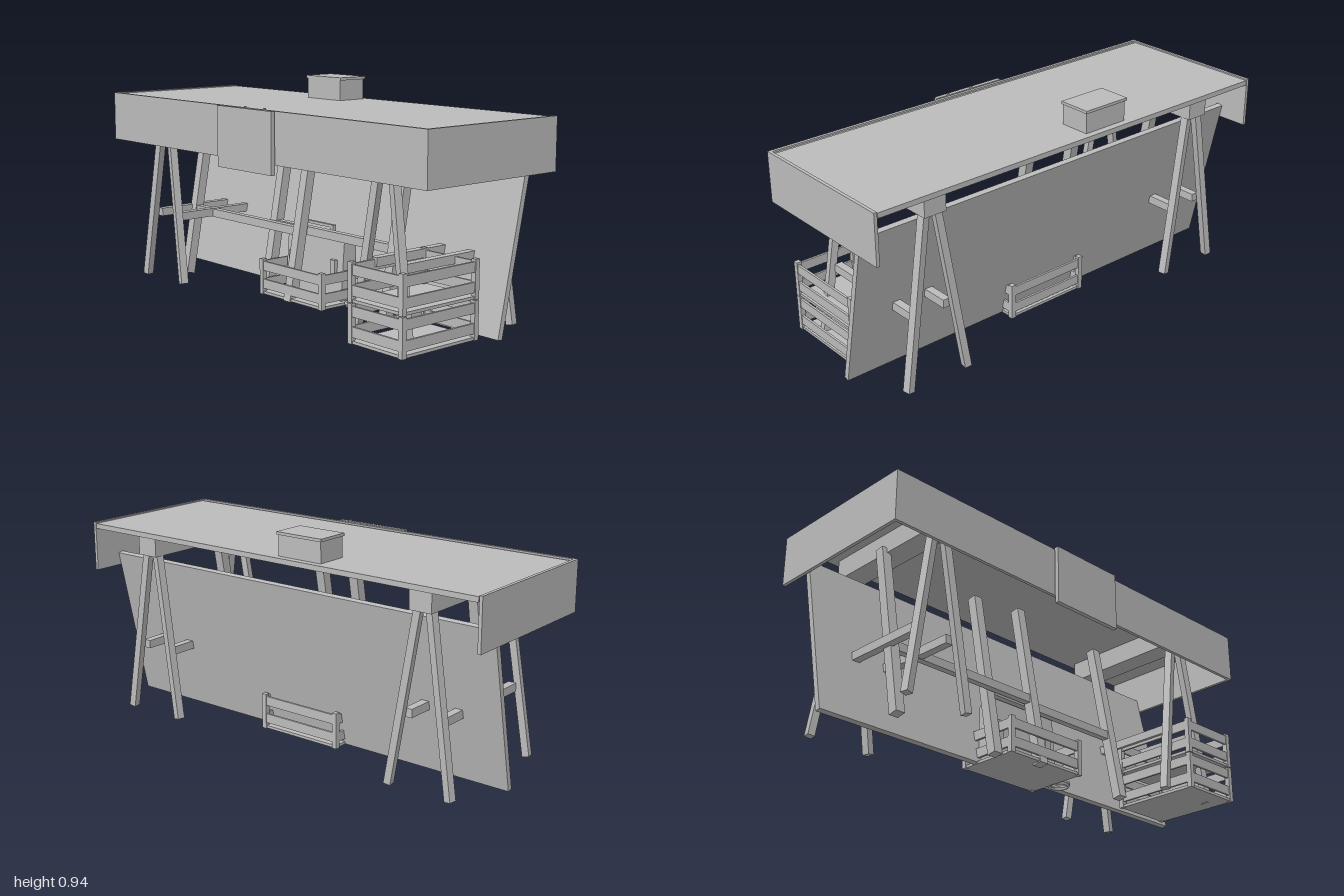
import * as THREE from 'three';

const grey = new THREE.MeshStandardMaterial({ color: 0xbcbcbc });
grey.name = 'plain grey';

// Box given by its centre and size
function box(parent, name, [x, y, z], [w, h, d]) {
  const m = new THREE.Mesh(new THREE.BoxGeometry(w, h, d), grey);
  m.name = name;
  m.position.set(x, y, z);
  parent.add(m);
  return m;
}

// Straight timber running from a to b; w is its level width, t its other width
function bar(parent, name, a, b, w, t) {
  const p = new THREE.Vector3(...a), q = new THREE.Vector3(...b);
  const m = new THREE.Mesh(new THREE.BoxGeometry(w, t, p.distanceTo(q)), grey);
  m.name = name;
  m.position.copy(p).add(q).multiplyScalar(0.5);
  m.lookAt(q);
  parent.add(m);
  return m;
}

function group(parent, name) {
  const g = new THREE.Group();
  g.name = name;
  parent.add(g);
  return g;
}

// Open slatted crate, long along x, standing on its own y = 0
function makeCrate(parent, name) {
  const g = group(parent, name), L = 0.405, W = 0.29, post = 0.022, slat = 0.01;
  box(g, 'crateBase', [0, 0.007, 0], [L - 0.01, 0.012, W - 0.01]);
  for (const sx of [-1, 1]) for (const sz of [-1, 1])
    box(g, 'cratePost', [sx * (L - post) / 2, 0.078, sz * (W - post) / 2], [post, 0.156, post]);
  for (const y of [0.047, 0.126]) for (const s of [-1, 1]) {
    box(g, 'longSlat', [0, y, s * (W / 2 - 0.008)], [L - post, 0.041, slat]);
    box(g, 'endSlat', [s * (L / 2 - 0.008), y, 0], [slat, 0.041, W - post]);
  }
  return g;
}

// Trestle with a top beam, four splayed legs and two stretchers
function makeTrestle(parent, x) {
  const g = group(parent, 'trestle');
  g.position.x = x;
  box(g, 'trestleBeam', [0, 0.775, -0.012], [0.1, 0.09, 0.63]);
  for (const sx of [-1, 1]) {
    bar(g, 'frontLeg', [sx * 0.142, 0.01, 0.268], [sx * 0.026, 0.75, 0.247], 0.034, 0.03);
    bar(g, 'backLeg', [sx * 0.142, 0.01, -0.309], [sx * 0.026, 0.75, -0.292], 0.034, 0.03);
    box(g, 'stretcher', [sx * 0.077, 0.305, -0.02], [0.034, 0.036, 0.515]);
  }
}

// Leaning frame of two posts joined by a rail
function makeFrame(parent, x0, x1, zBottom) {
  const g = group(parent, 'leaningFrame'), slope = -0.182;
  for (const x of [x0, x1])
    bar(g, 'framePost', [x, 0.005, zBottom], [x, 0.75, zBottom + slope * 0.745], 0.042, 0.042);
  box(g, 'frameRail', [(x0 + x1) / 2, 0.303, zBottom + slope * 0.3], [x1 - x0, 0.036, 0.03]);
}

export function createModel() {
  const model = new THREE.Group();
  model.name = 'trestleTable';

  // Table top with front and side aprons, open at the back
  const table = group(model, 'table');
  box(table, 'tableTop', [0, 0.831, -0.026], [1.966, 0.022, 0.676]);
  box(table, 'topEdging', [0, 0.83, 0.318], [1.966, 0.018, 0.016]);
  box(table, 'frontApron', [0, 0.739, 0.332], [1.98, 0.215, 0.014]);
  for (const s of [-1, 1])
    box(table, 'sideApron', [s * 0.993, 0.739, -0.013], [0.014, 0.215, 0.704]);

  // Plain board hung on the front apron
  const board = group(model, 'hangingBoard');
  box(board, 'boardPanel', [0, 0.72, 0.355], [0.35, 0.255, 0.019]);
  for (const x of [-0.01, 0.115])
    box(board, 'boardPeg', [x, 0.848, 0.347], [0.008, 0.014, 0.008]);

  // Lidded box on the table
  const chest = group(model, 'tableBox');
  box(chest, 'boxBody', [-0.15, 0.886, -0.266], [0.212, 0.09, 0.136]);
  box(chest, 'boxLid', [-0.15, 0.935, -0.267], [0.224, 0.012, 0.146]);

  makeTrestle(model, -0.714);
  makeTrestle(model, 0.706);

  // Large sheet leaning under the table
  bar(model, 'leaningSheet', [0, 0.014, -0.084], [0, 0.69, -0.229], 1.966, 0.024);

  // Two spare frames leaning against each other
  makeFrame(model, -0.765, -0.02, 0.105);
  makeFrame(model, -0.23, 0.51, 0.06);

  // Stack of two crates on the left, one crate in the middle
  for (const y of [0.01, 0.169]) {
    const crate = makeCrate(model, 'stackedCrate');
    crate.rotation.y = Math.PI / 2;
    crate.position.set(0.768, y, 0.162);
  }
  makeCrate(model, 'middleCrate').position.set(0, 0.01, -0.02);

  // Carrying case standing in the middle crate
  const carry = group(model, 'carryingCase');
  const s = new THREE.Shape();
  s.moveTo(0.005, 0.025);
  s.lineTo(0.09, 0.025);
  s.lineTo(0.09, 0.265);
  s.lineTo(0.07, 0.287);
  s.lineTo(0.045, 0.31);
  s.lineTo(0.025, 0.31);
  const geo = new THREE.ExtrudeGeometry(s, { depth: 0.36, bevelEnabled: false });
  const body = new THREE.Mesh(geo, grey);
  body.name = 'caseBody';
  body.rotation.y = Math.PI / 2;
  body.position.x = -0.18;
  carry.add(body);
  box(carry, 'caseHandle', [-0.02, 0.33, -0.038], [0.24, 0.012, 0.016]);
  for (const x of [-0.13, 0.09]) box(carry, 'handleFoot', [x, 0.318, -0.038], [0.02, 0.018, 0.016]);
  for (const x of [-0.14, 0.13]) box(carry, 'caseLatch', [x, 0.15, -0.01], [0.03, 0.09, 0.02]);

  // Coil lying beside the crate
  for (let i = 0; i < 2; i++) {
    const coil = new THREE.Mesh(new THREE.TorusGeometry(0.04, 0.006, 8, 28), grey);
    coil.name = 'cableCoil';
    coil.rotation.x = Math.PI / 2;
    coil.position.set(0.235, 0.015 + i * 0.009, -0.04 + i * 0.004);
    model.add(coil);
  }
  return model;
}
